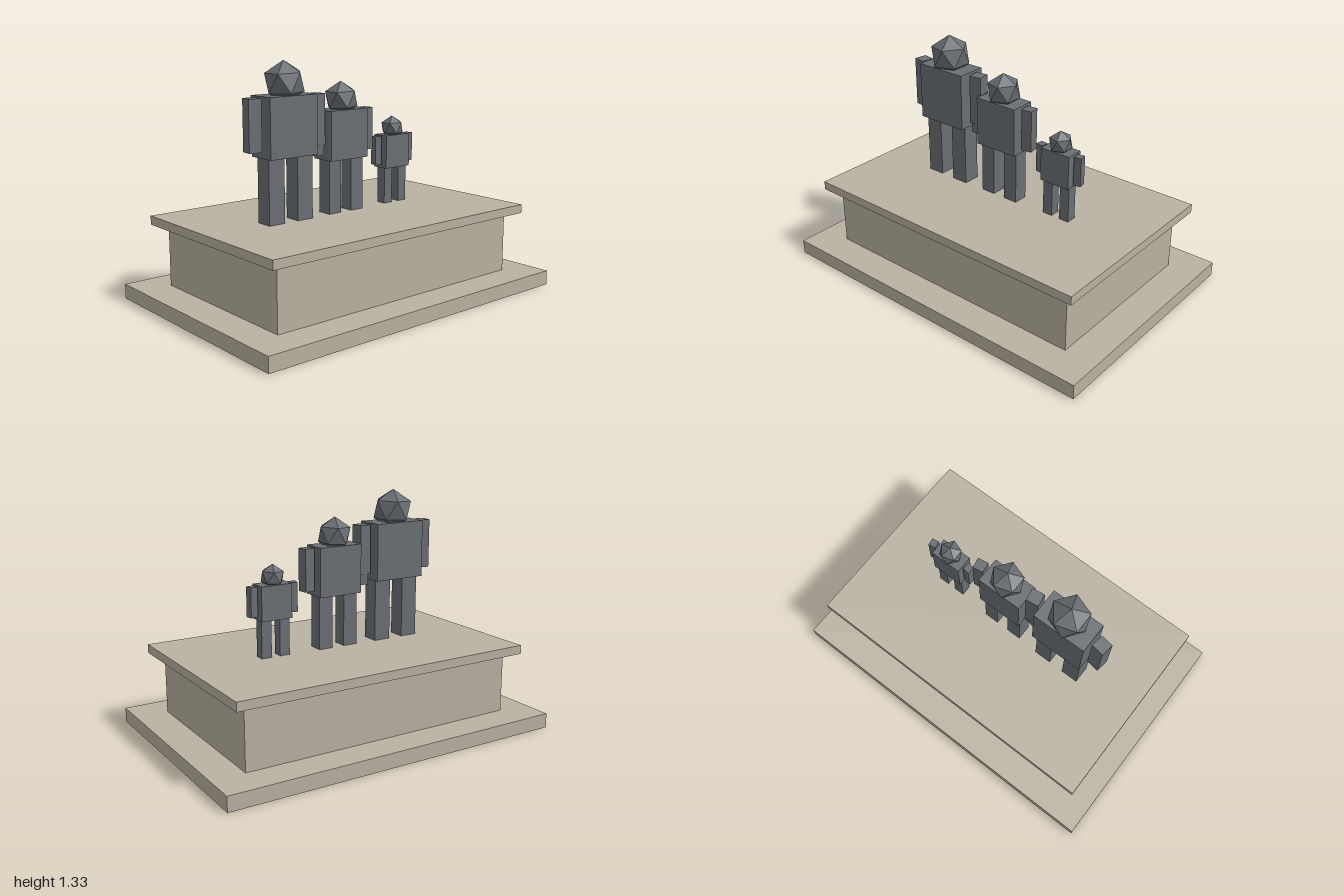
import * as THREE from 'three';

const stone = new THREE.MeshStandardMaterial({ color: 0xb8b2a2 });
stone.name = 'paleStone';
const metal = new THREE.MeshStandardMaterial({ color: 0x6a6f74 });
metal.name = 'greyMetal';

const GROUND = 0.477;

// Box placed by its bottom height
function box(name, w, h, d, x, bottom, material) {
  const mesh = new THREE.Mesh(new THREE.BoxGeometry(w, h, d), material);
  mesh.name = name;
  mesh.position.set(x, bottom + h / 2, 0);
  return mesh;
}

// Block figure at full size, feet at y = 0
function figure(name, x, scale) {
  const group = new THREE.Group();
  group.name = name;
  group.add(box('torso', 0.308, 0.322, 0.17, 0, 0.352, metal));
  for (const side of [-1, 1]) {
    const label = side > 0 ? 'left' : 'right';
    group.add(box(label + 'Leg', 0.1, 0.352, 0.1, side * 0.093, 0, metal));
    // Arms hang beside the torso, turned a little about the vertical
    const arm = box(label + 'Arm', 0.072, 0.278, 0.072, side * 0.207, 0.39, metal);
    arm.rotation.y = side * 0.15;
    group.add(arm);
  }
  // Faceted head sunk slightly into the shoulders, one corner up
  const headGeometry = new THREE.IcosahedronGeometry(0.115, 0);
  headGeometry.computeVertexNormals();
  const head = new THREE.Mesh(headGeometry, metal);
  head.name = 'head';
  head.position.y = 0.738;
  head.rotation.z = -0.51;
  group.add(head);

  group.position.set(x, GROUND, 0);
  group.scale.setScalar(scale);
  return group;
}

export function createModel() {
  const model = new THREE.Group();
  model.name = 'familyMonument';

  // Stepped plinth
  model.add(box('plinthBase', 2, 0.083, 1.362, 0, 0, stone));
  model.add(box('plinthBlock', 1.63, 0.344, 0.998, 0, 0.083, stone));
  model.add(box('plinthCap', 1.772, 0.05, 1.134, 0, 0.427, stone));

  // Three figures in descending height
  model.add(figure('tallFigure', -0.387, 1));
  model.add(figure('middleFigure', 0, 0.85));
  model.add(figure('smallFigure', 0.387, 0.59));
  return model;
}
